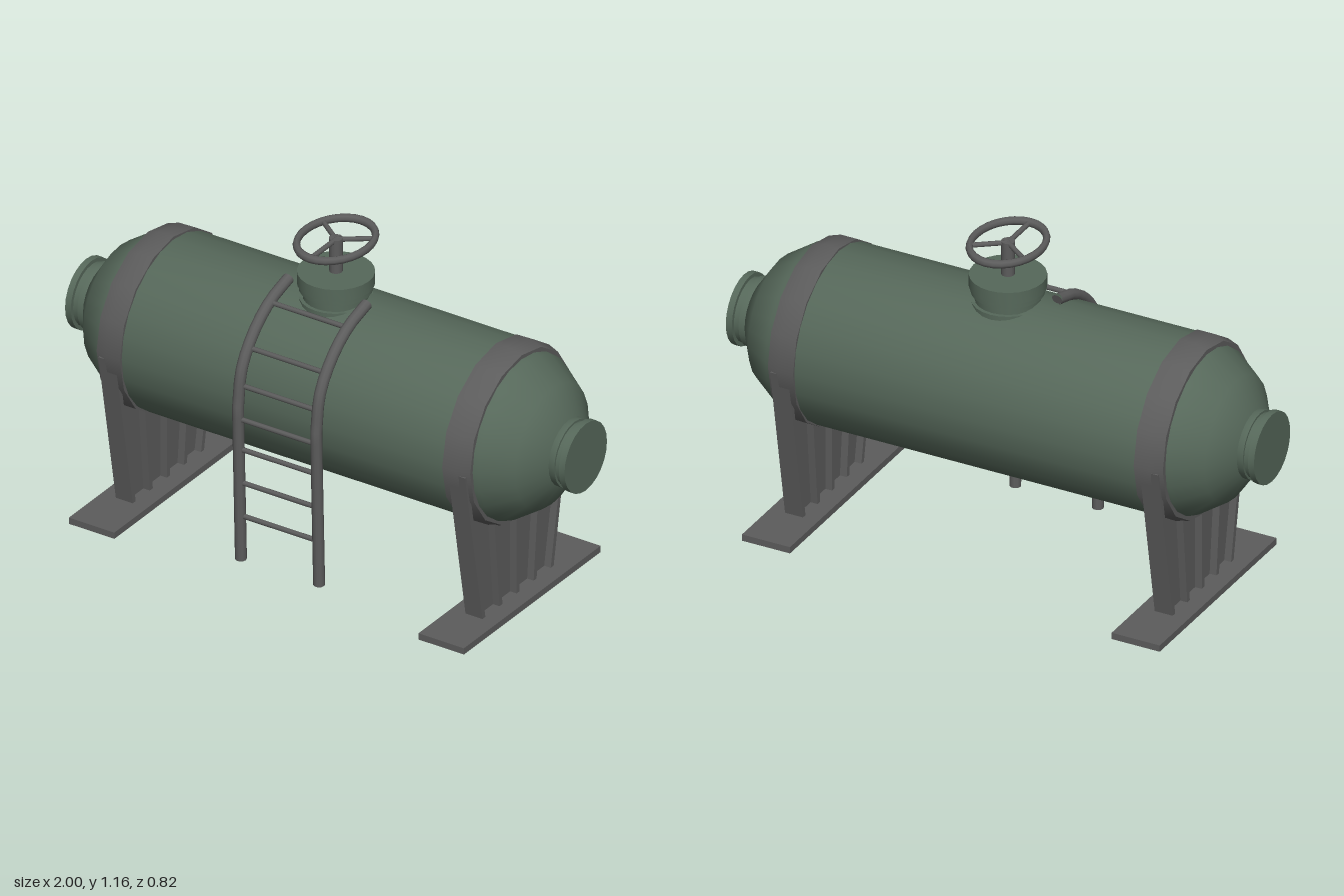
import * as THREE from 'three';
import { toCreasedNormals } from 'three/addons/utils/BufferGeometryUtils.js';

const green = new THREE.MeshStandardMaterial({ color: 0x56685a });
const steel = new THREE.MeshStandardMaterial({ color: 0x5c5c5c });
const AXIS_Y = 0.63;

function add(parent, name, geometry, material) {
  const mesh = new THREE.Mesh(geometry, material);
  mesh.name = name;
  parent.add(mesh);
  return mesh;
}

// Profile of [radius, height] pairs, listed upwards
function lathe(profile, sides, crease = 0.5) {
  const points = profile.map(([r, y]) => new THREE.Vector2(r, y));
  return toCreasedNormals(new THREE.LatheGeometry(points, sides), crease);
}

// Straight bar between two points
function bar(a, b, radius, sides = 8) {
  return new THREE.TubeGeometry(new THREE.LineCurve3(a, b), 1, radius, sides);
}

function rect(w, d, PathType) {
  const p = new PathType();
  p.moveTo(-w / 2, -d / 2).lineTo(w / 2, -d / 2).lineTo(w / 2, d / 2).lineTo(-w / 2, d / 2);
  p.closePath();
  return p;
}

// Upright plate whose z follows the leaning line of the leg
const leanZ = (y) => 0.205 + 0.178 * (y - 0.02);
function rib(f, top) {
  const h = top - 0.02;
  const g = new THREE.BoxGeometry(0.068, h, 0.018).translate(0, 0.02 + h / 2, 0);
  const p = g.attributes.position;
  for (let i = 0; i < p.count; i++) p.setZ(i, p.getZ(i) + f * leanZ(p.getY(i)));
  g.computeVertexNormals();
  return g;
}

function createSupport() {
  const support = new THREE.Group();

  // Web, stiffening ribs and edge flanges
  const web = new THREE.Shape();
  web.moveTo(-leanZ(0.02), 0.02).lineTo(leanZ(0.02), 0.02);
  web.lineTo(leanZ(0.48), 0.48).lineTo(-leanZ(0.48), 0.48).closePath();
  const webGeo = new THREE.ExtrudeGeometry(web, { depth: 0.016, bevelEnabled: false });
  add(support, 'legWeb', webGeo.translate(0, 0, -0.008).rotateY(Math.PI / 2), steel);
  for (const f of [-1, -0.5, 0, 0.5, 1]) {
    add(support, 'legRib', rib(f, Math.abs(f) === 1 ? 0.615 : 0.45), steel);
  }

  // Foot plate with a rim underneath
  add(support, 'footPlate', new THREE.BoxGeometry(0.182, 0.012, 0.824).translate(0, 0.018, 0), steel);
  const rim = rect(0.182, 0.824, THREE.Shape);
  rim.holes.push(rect(0.158, 0.8, THREE.Path));
  const rimGeo = new THREE.ExtrudeGeometry(rim, { depth: 0.014, bevelEnabled: false });
  add(support, 'footRim', rimGeo.rotateX(-Math.PI / 2), steel);

  // Strap around the tank
  const strap = lathe([[0.3, -0.055], [0.324, -0.055], [0.324, 0.005], [0.31, 0.048], [0.28, 0.048]], 16);
  add(support, 'strap', strap.rotateZ(-Math.PI / 2), steel).position.y = AXIS_Y;
  return support;
}

// Rail line in the zy plane
const RAIL = [[0.317, 0.02], [0.335, 0.61], [0.312, 0.75], [0.24, 0.855], [0.145, 0.925], [0.03, 0.962]];

function railZ(y) {
  for (let i = 1; i < RAIL.length; i++) {
    const [z0, y0] = RAIL[i - 1], [z1, y1] = RAIL[i];
    if (y <= y1) return z0 + ((z1 - z0) * (y - y0)) / (y1 - y0);
  }
  return RAIL[RAIL.length - 1][0];
}

function createLadder() {
  const ladder = new THREE.Group();
  ladder.name = 'ladder';
  const xs = [-0.17, 0.143];
  for (const x of xs) {
    const path = new THREE.CurvePath();
    const pts = RAIL.map(([z, y]) => new THREE.Vector3(x, y, z));
    path.add(new THREE.LineCurve3(pts[0], pts[1]));
    path.add(new THREE.CatmullRomCurve3(pts.slice(1)));
    add(ladder, 'ladderRail', new THREE.TubeGeometry(path, 24, 0.02, 10), steel);
    // Rail end caps
    add(ladder, 'railEnd', new THREE.CircleGeometry(0.02, 10).rotateX(Math.PI / 2), steel).position.copy(pts[0]);
    const tip = add(ladder, 'railEnd', new THREE.CircleGeometry(0.02, 10), steel);
    tip.position.copy(pts[pts.length - 1]);
    tip.rotation.x = Math.PI - 0.3;
  }
  for (const y of [0.19, 0.32, 0.45, 0.567, 0.69, 0.81, 0.925]) {
    const z = railZ(y);
    add(ladder, 'ladderRung', bar(new THREE.Vector3(xs[0], y, z), new THREE.Vector3(xs[1], y, z), 0.009), steel);
  }
  return ladder;
}

function createHandwheel() {
  const wheel = new THREE.Group();
  wheel.name = 'handwheel';
  add(wheel, 'stem', new THREE.CylinderGeometry(0.023, 0.023, 0.13, 12).translate(0, 1.085, 0), steel);
  add(wheel, 'hub', new THREE.CylinderGeometry(0.024, 0.024, 0.014, 12).translate(0, 1.15, 0), steel);
  // Oval rim and three spokes
  const rim = new THREE.TorusGeometry(0.155, 0.015, 8, 28).rotateX(Math.PI / 2).scale(0.78, 1, 1);
  add(wheel, 'wheelRim', rim.translate(0, 1.15, 0), steel);
  for (let i = 0; i < 3; i++) {
    const a = Math.PI / 2 + (i * Math.PI * 2) / 3;
    const end = new THREE.Vector3(0.12 * Math.cos(a), 1.15, 0.155 * Math.sin(a));
    add(wheel, 'wheelSpoke', bar(new THREE.Vector3(0, 1.15, 0), end, 0.009), steel);
  }
  return wheel;
}

export function createModel() {
  const model = new THREE.Group();

  // Shell with domed ends
  const dome = [0, 1, 2, 3, 4].map((i) => {
    const a = (i * Math.PI) / 8;
    return [0.315 * Math.cos(a), 0.642 + 0.315 * Math.sin(a)];
  });
  const shell = [...dome.map(([r, x]) => [r, -x]).reverse(), ...dome];
  add(model, 'tank', lathe(shell, 24).rotateZ(-Math.PI / 2), green).position.y = AXIS_Y;

  for (const side of [1, -1]) {
    // Flanged end nozzle
    const nozzle = lathe([[0.118, 0.92], [0.122, 0.93], [0.122, 0.955], [0.114, 0.955],
      [0.114, 0.977], [0.128, 0.977], [0.128, 1], [0, 1]], 24);
    const mesh = add(model, 'endNozzle', nozzle.rotateZ((-side * Math.PI) / 2), green);
    mesh.position.y = AXIS_Y;

    const support = createSupport();
    support.name = side > 0 ? 'leftSupport' : 'rightSupport';
    support.position.x = side > 0 ? 0.695 : -0.705;
    if (side < 0) support.rotation.y = Math.PI;
    model.add(support);
  }

  // Stepped hatch on top
  const hatch = lathe([[0.125, 0.89], [0.125, 0.935], [0.112, 0.935], [0.112, 0.965],
    [0.125, 0.965], [0.125, 0.985], [0.131, 0.985], [0.131, 1.03], [0, 1.03]], 24);
  add(model, 'hatch', hatch, green);

  model.add(createHandwheel(), createLadder());
  return model;
}
